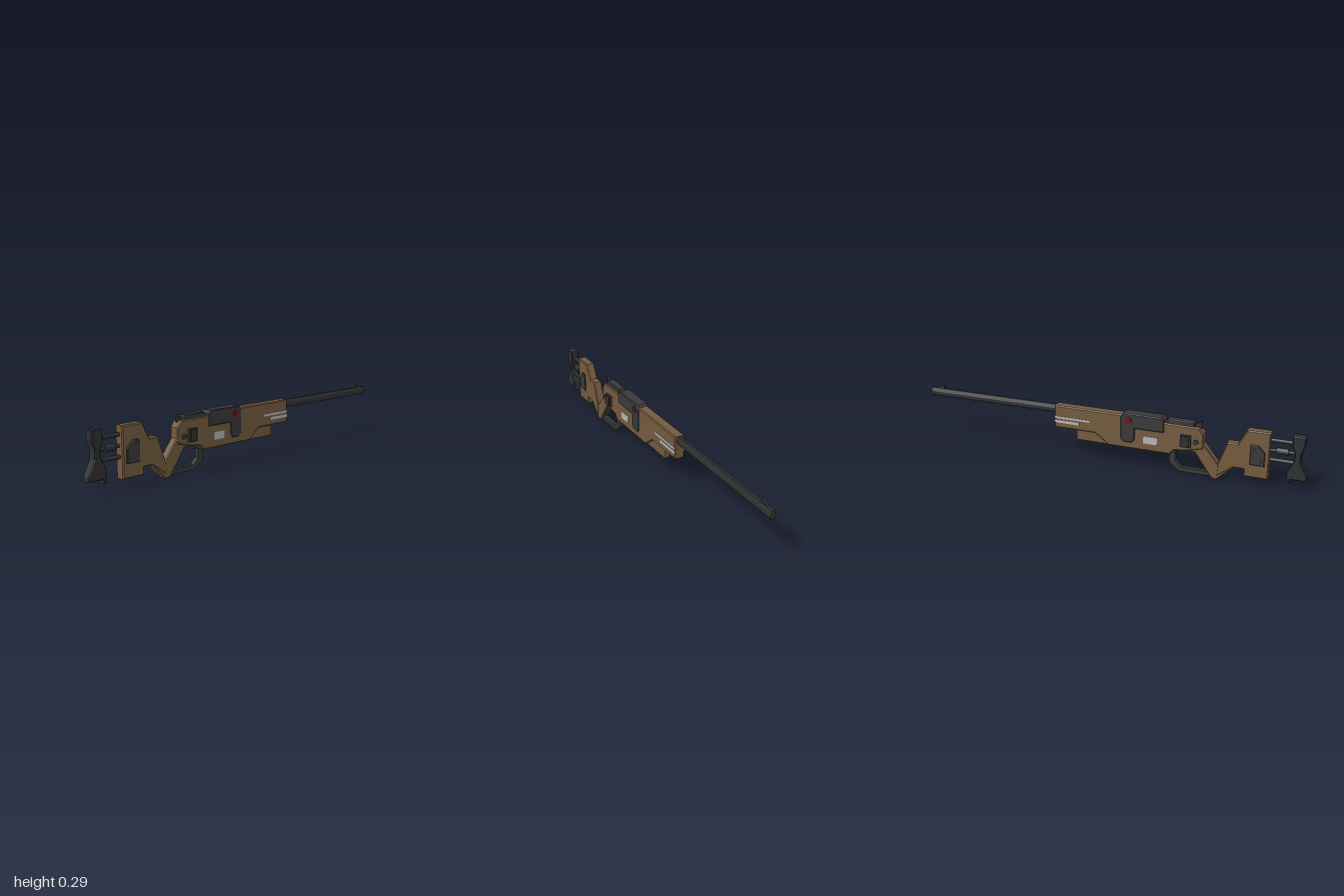
import * as THREE from 'three';

const mat = (name, color) => {
  const m = new THREE.MeshStandardMaterial({ color });
  m.name = name;
  return m;
};

export function createModel() {
  const group = new THREE.Group();
  const brown = mat('brown furniture', 0x735a3e);
  const dark = mat('dark metal', 0x2f3031);
  const grey = mat('receiver grey', 0x39393a);
  const white = mat('pale marking', 0xb4b4b4);
  const red = mat('red button', 0x7c0a10);

  const add = (name, geometry, material, x = 0, y = 0, z = 0) => {
    const mesh = new THREE.Mesh(geometry, material);
    mesh.name = name;
    mesh.position.set(x, y, z);
    group.add(mesh);
    return mesh;
  };

  // Side profile extruded symmetrically across z, with chamfered edges
  const plate = (name, points, half, bevel, material) => {
    const shape = new THREE.Shape(points.map(p => new THREE.Vector2(p[0], p[1])));
    const geo = new THREE.ExtrudeGeometry(shape, {
      depth: 2 * (half - bevel), bevelEnabled: bevel > 0, bevelSegments: 1,
      bevelSize: bevel, bevelThickness: bevel, bevelOffset: -bevel,
    });
    geo.translate(0, 0, bevel - half);
    return add(name, geo, material);
  };
  const box = (name, x0, x1, y0, y1, half, material) =>
    add(name, new THREE.BoxGeometry(x1 - x0, y1 - y0, 2 * half), material, (x0 + x1) / 2, (y0 + y1) / 2);
  const rod = (name, x0, x1, y, r, material) =>
    add(name, new THREE.CylinderGeometry(r, r, x1 - x0, 8).rotateZ(Math.PI / 2), material, (x0 + x1) / 2, y);

  // Main body and fore-end
  plate('body', [[-0.505, 0.225], [-0.48, 0.255], [-0.31, 0.257], [-0.3, 0.27], [0.27, 0.27],
    [0.27, 0.152], [0.05, 0.152], [-0.02, 0.098], [-0.34, 0.098], [-0.36, 0.122],
    [-0.43, 0.13], [-0.505, 0.15]], 0.026, 0.005, brown);
  plate('foreGrip', [[0, 0.155], [0.155, 0.155], [0.155, 0.098], [-0.02, 0.098]], 0.014, 0, brown);

  // Grip arm linking the body to the stock
  plate('gripArm', [[-0.505, 0.2], [-0.44, 0.2], [-0.43, 0.13], [-0.465, 0.125], [-0.55, 0.005],
    [-0.575, 0], [-0.65, 0.07], [-0.61, 0.14], [-0.582, 0.08], [-0.505, 0.175]], 0.021, 0.004, brown);
  plate('gripInsert', [[-0.545, 0.07], [-0.495, 0.145], [-0.462, 0.122], [-0.515, 0.045]], 0.017, 0, grey);

  // Butt stock and its side panels
  plate('stock', [[-0.822, 0.278], [-0.71, 0.278], [-0.67, 0.202], [-0.62, 0.202], [-0.578, 0.085],
    [-0.575, 0.02], [-0.655, 0.078], [-0.705, 0.078], [-0.705, 0.042], [-0.822, 0.042]], 0.023, 0.005, brown);
  plate('stockPanel', [[-0.802, 0.108], [-0.802, 0.175], [-0.77, 0.21], [-0.732, 0.21],
    [-0.732, 0.108]], 0.029, 0.003, grey);
  for (const s of [-1, 1])
    for (const [x, y] of [[-0.75, 0.19], [-0.785, 0.13]])
      add('panelScrew', new THREE.CylinderGeometry(0.005, 0.005, 0.003, 8).rotateX(Math.PI / 2), dark, x, y, s * 0.029);

  // Adjustable butt pad on rods
  plate('buttPad', [[-0.98, 0.278], [-0.922, 0.278], [-0.922, 0.225], [-0.935, 0.195], [-0.935, 0.155],
    [-0.905, 0.1], [-0.905, 0.042], [-0.925, 0.042], [-0.925, 0.06], [-1, 0.06], [-1, 0.085],
    [-0.965, 0.15], [-0.965, 0.19], [-0.98, 0.235]], 0.021, 0.004, dark);
  rod('upperRod', -0.94, -0.81, 0.238, 0.01, dark);
  rod('lowerRod', -0.94, -0.81, 0.14, 0.01, dark);
  rod('adjusterRod', -0.95, -0.81, 0.188, 0.008, dark);
  rod('adjusterKnob', -0.905, -0.85, 0.188, 0.017, dark);

  // Trigger guard
  plate('triggerGuard', [[-0.56, 0.03], [-0.545, 0.01], [-0.385, 0.01], [-0.335, 0.052], [-0.335, 0.105],
    [-0.365, 0.105], [-0.365, 0.062], [-0.395, 0.033], [-0.54, 0.033]], 0.011, 0, grey);

  // Receiver cover, bolt housing and rear sight
  plate('receiver', [[-0.308, 0.206], [-0.308, 0.268], [-0.295, 0.281], [-0.1, 0.281], [-0.085, 0.265],
    [-0.085, 0.145], [-0.1, 0.13], [-0.145, 0.13], [-0.16, 0.15], [-0.16, 0.206]], 0.03, 0.004, grey);
  plate('rearCover', [[-0.46, 0.25], [-0.455, 0.278], [-0.325, 0.278], [-0.315, 0.25]], 0.021, 0.004, grey);
  plate('rearSight', [[-0.49, 0.245], [-0.49, 0.286], [-0.455, 0.262], [-0.455, 0.245]], 0.006, 0, dark);
  box('boltHousing', -0.445, -0.392, 0.15, 0.212, 0.036, grey);
  box('boltHousingCap', -0.437, -0.4, 0.153, 0.209, 0.043, dark);
  add('gripPin', new THREE.CylinderGeometry(0.014, 0.014, 0.064, 10).rotateX(Math.PI / 2), grey, -0.468, 0.18);
  add('buttons', new THREE.CylinderGeometry(0.017, 0.017, 0.068, 10).rotateX(Math.PI / 2), red, -0.127, 0.246);

  // Painted plates on both sides
  for (const s of [-1, 1])
    for (const [name, x0, x1, y0, y1] of [['labelPlate', -0.275, -0.205, 0.136, 0.174],
      ['upperStripe', 0.08, 0.27, 0.203, 0.214], ['lowerStripe', 0.135, 0.27, 0.18, 0.195]])
      add(name, new THREE.BoxGeometry(x1 - x0, y1 - y0, 0.004), white, (x0 + x1) / 2, (y0 + y1) / 2, s * 0.0265);

  // Barrel: faceted section, taller than wide
  const section = new THREE.Shape([[0.008, 0.226], [0.014, 0.237], [0.014, 0.25], [0.007, 0.268],
    [-0.007, 0.268], [-0.014, 0.25], [-0.014, 0.237], [-0.008, 0.226]].map(p => new THREE.Vector2(...p)));
  const barrel = new THREE.ExtrudeGeometry(section, { depth: 0.75, bevelEnabled: false });
  add('barrel', barrel.rotateY(Math.PI / 2), dark, 0.25);
  plate('frontSight', [[0.925, 0.262], [0.925, 0.287], [0.94, 0.285], [0.975, 0.262]], 0.005, 0, dark);

  return group;
}
